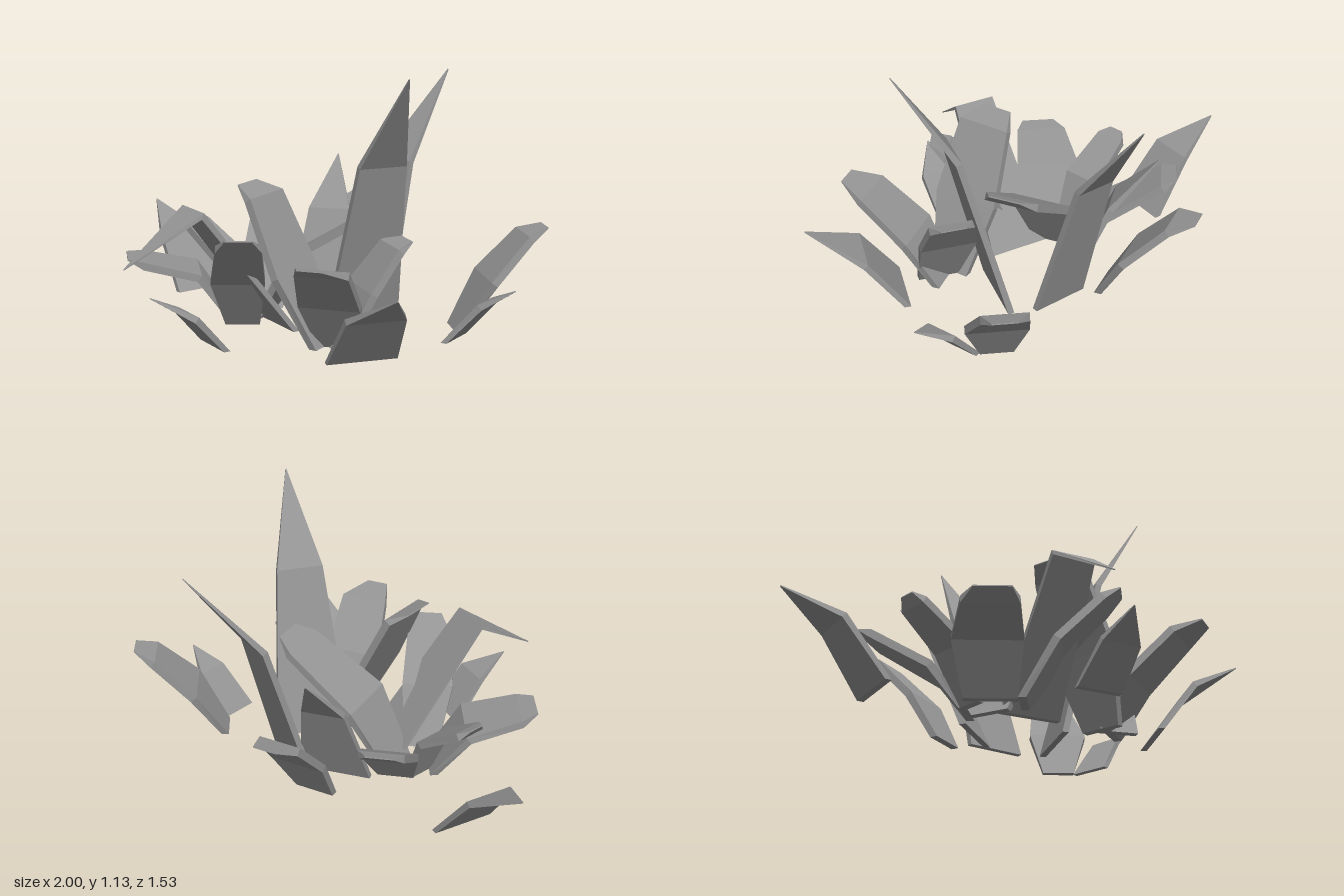
import * as THREE from 'three';

const UP = new THREE.Vector3(0, 1, 0);

// A bent slab: rows run from base to tip as [x, y, z, width] of the upper surface
function leafGeometry(rows, thickness) {
  const points = rows.map(([x, y, z]) => new THREE.Vector3(x, y, z));
  const last = points.length - 1;
  const heading = points[last].clone().sub(points[0]).setY(0).normalize();
  const side = UP.clone().cross(heading);

  const rings = points.map((p, i) => {
    const along = points[Math.min(i + 1, last)].clone().sub(points[Math.max(i - 1, 0)]);
    const normal = along.cross(side).normalize();
    if (i === 0) normal.copy(heading).negate(); // base is cut level with the ground
    const half = side.clone().multiplyScalar(rows[i][3] / 2);
    const depth = i === last ? thickness * 0.15 : thickness; // tip thins to an edge
    const under = p.clone().addScaledVector(normal, -depth);
    return [p.clone().add(half), p.clone().sub(half), under.clone().sub(half), under.clone().add(half)];
  });

  const pos = [];
  const quad = (a, b, c, d) => [a, b, c, a, c, d].forEach((v) => pos.push(v.x, v.y, v.z));
  for (let i = 0; i < last; i++) {
    for (let k = 0; k < 4; k++) {
      const n = (k + 1) % 4;
      quad(rings[i][k], rings[i][n], rings[i + 1][n], rings[i + 1][k]);
    }
  }
  quad(...rings[last]);
  quad(...[...rings[0]].reverse());

  const geometry = new THREE.BufferGeometry();
  geometry.setAttribute('position', new THREE.Float32BufferAttribute(pos, 3));
  geometry.computeVertexNormals();
  return geometry;
}

// Pointed blades: base, fold, tip
const pointedLeaves = {
  tallLeaf: [[0.30, 0, 0.0, 0.34], [0.45, 0.75, 0.12, 0.21], [0.64, 1.13, 0.28, 0.004]],
  tallBackLeaf: [[0.22, 0, -0.23, 0.26], [0.27, 0.67, -0.42, 0.18], [0.40, 1.05, -0.70, 0.004]],
  backLeaf: [[0.03, 0, -0.19, 0.32], [-0.03, 0.42, -0.36, 0.19], [-0.08, 0.64, -0.55, 0.004]],
  droopingLeaf: [[-0.02, 0, 0.1, 0.27], [-0.235, 0.56, 0.47, 0.19], [-0.39, 0.35, 0.755, 0.004]],
  outerRightLeaf: [[-0.615, 0, -0.205, 0.27], [-0.79, 0.25, -0.28, 0.21], [-1.0, 0.36, -0.39, 0.004]],
  outerLeftLeaf: [[0.70, 0, -0.06, 0.18], [0.85, 0.18, -0.06, 0.14], [0.99, 0.25, -0.03, 0.004]],
  frontLeftLeaf: [[0.49, 0, 0.38, 0.3], [0.61, 0.23, 0.5, 0.25], [0.78, 0.36, 0.67, 0.004]],
  frontRightLeaf: [[-0.11, 0, 0.49, 0.2], [-0.16, 0.17, 0.63, 0.17], [-0.26, 0.25, 0.76, 0.004]],
};

// Blunt blades: base, fold, shoulder, tip
const bluntLeaves = {
  centreLeaf: [[-0.18, 0, 0.0, 0.2], [-0.02, 0.3, -0.03, 0.3], [0.3, 0.5, -0.06, 0.24], [0.38, 0.54, -0.07, 0.14]],
  innerFrontLeaf: [[0.29, 0, 0.28, 0.18], [0.15, 0.3, 0.28, 0.31], [0.0, 0.61, 0.27, 0.25], [-0.1, 0.65, 0.26, 0.14]],
  middleFrontLeaf: [[-0.18, 0, 0.17, 0.15], [-0.12, 0.24, 0.31, 0.23], [-0.02, 0.43, 0.47, 0.19], [0.02, 0.47, 0.54, 0.11]],
  leftFrontLeaf: [[0.34, 0, 0.26, 0.18], [0.36, 0.22, 0.39, 0.26], [0.42, 0.41, 0.58, 0.22], [0.43, 0.44, 0.71, 0.1]],
  leftInnerLeaf: [[0.33, 0, 0.32, 0.18], [0.4, 0.25, 0.21, 0.25], [0.49, 0.42, 0.12, 0.2], [0.55, 0.44, 0.07, 0.11]],
  farLeftLeaf: [[0.65, 0, -0.19, 0.14], [0.76, 0.23, -0.265, 0.26], [0.89, 0.41, -0.385, 0.19], [0.97, 0.44, -0.435, 0.1]],
  rearLeaf: [[0.02, 0, -0.345, 0.18], [0.02, 0.22, -0.47, 0.25], [-0.02, 0.41, -0.65, 0.19], [-0.03, 0.44, -0.765, 0.1]],
  rearRightLeaf: [[-0.2, 0, -0.06, 0.16], [-0.25, 0.2, -0.19, 0.25], [-0.37, 0.37, -0.43, 0.19], [-0.4, 0.39, -0.49, 0.12]],
  rightLeaf: [[-0.26, 0, 0.0, 0.12], [-0.36, 0.24, -0.03, 0.18], [-0.56, 0.37, -0.07, 0.14], [-0.605, 0.39, -0.08, 0.07]],
  rightFrontLeaf: [[-0.27, 0, 0.09, 0.22], [-0.4, 0.22, 0.17, 0.29], [-0.59, 0.28, 0.32, 0.23], [-0.645, 0.29, 0.37, 0.15]],
};

export function createModel() {
  const plant = new THREE.Group();
  plant.name = 'leafCluster';
  const material = new THREE.MeshStandardMaterial({ color: 0x959595, flatShading: true });
  for (const [leaves, thickness] of [[pointedLeaves, 0.028], [bluntLeaves, 0.034]]) {
    for (const [name, rows] of Object.entries(leaves)) {
      const mesh = new THREE.Mesh(leafGeometry(rows, thickness), material);
      mesh.name = name;
      plant.add(mesh);
    }
  }
  return plant;
}
